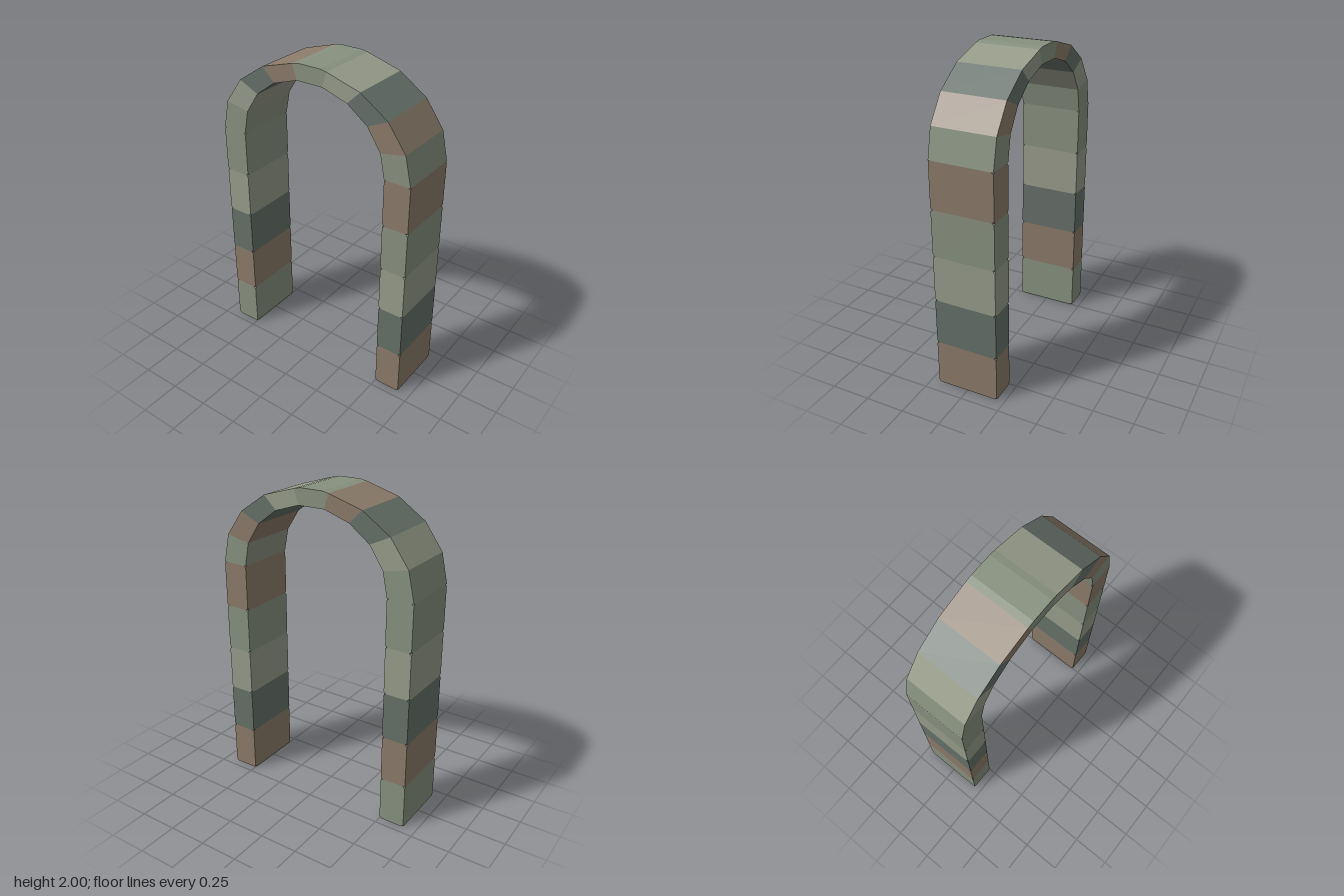
import * as THREE from 'three';
import { ConvexGeometry } from 'three/addons/geometries/ConvexGeometry.js';

const DEPTH = 0.4;
const SPRING = 1.466; // height where the arch begins
const OUTER = [0.667, 0.534], INNER = [0.5, 0.44]; // ellipse radii

const stone = (color) => new THREE.MeshStandardMaterial({ color, flatShading: true });
const green = stone(0x88917f), light = stone(0x979c8a), dark = stone(0x667069), brown = stone(0x8b7b6a);

// Box whose eight corners are clipped off
function clippedBox(w, h, d, c) {
  const points = [];
  for (const x of [-1, 1]) for (const y of [-1, 1]) for (const z of [-1, 1]) {
    const p = [x * w / 2, y * h / 2, z * d / 2];
    [x, y, z].forEach((s, i) => {
      const q = [...p];
      q[i] -= s * c;
      points.push(new THREE.Vector3(...q));
    });
  }
  return new ConvexGeometry(points);
}

function onEllipse([a, b], degrees) {
  const t = THREE.MathUtils.degToRad(degrees);
  return new THREE.Vector2(a * Math.cos(t), SPRING + b * Math.sin(t));
}

export function createModel() {
  const arch = new THREE.Group();
  arch.name = 'stoneArch';

  // Two piers of five stacked blocks
  const h = SPRING / 5;
  const blockGeometry = clippedBox(OUTER[0] - INNER[0], h, DEPTH, 0.013);
  const piers = [
    ['leftPier', 1, [brown, dark, light, green, brown]],
    ['rightPier', -1, [green, brown, dark, light, green]],
  ];
  for (const [name, side, stones] of piers) {
    const pier = new THREE.Group();
    pier.name = name;
    stones.forEach((material, i) => {
      const block = new THREE.Mesh(blockGeometry, material);
      block.name = `pierBlock${i + 1}`;
      block.position.set(side * (OUTER[0] + INNER[0]) / 2, (i + 0.5) * h, 0);
      pier.add(block);
    });
    arch.add(pier);
  }

  // Nine wedge stones from the left pier over to the right pier
  const wedges = [green, brown, dark, light, green, brown, dark, light, green];
  wedges.forEach((material, i) => {
    const a = i * 20, b = a + 20;
    const isKey = i === 4;
    const crown = isKey ? [new THREE.Vector2(0.073, 2), new THREE.Vector2(-0.073, 2)] : [];
    const shape = new THREE.Shape([
      onEllipse(INNER, a), onEllipse(OUTER, a), ...crown, onEllipse(OUTER, b), onEllipse(INNER, b),
    ]);
    const geometry = new THREE.ExtrudeGeometry(shape, { depth: DEPTH, bevelEnabled: false });
    geometry.translate(0, 0, -DEPTH / 2);
    const wedge = new THREE.Mesh(geometry, material);
    wedge.name = isKey ? 'keystone' : `wedgeStone${i + 1}`;
    arch.add(wedge);
  });

  return arch;
}
